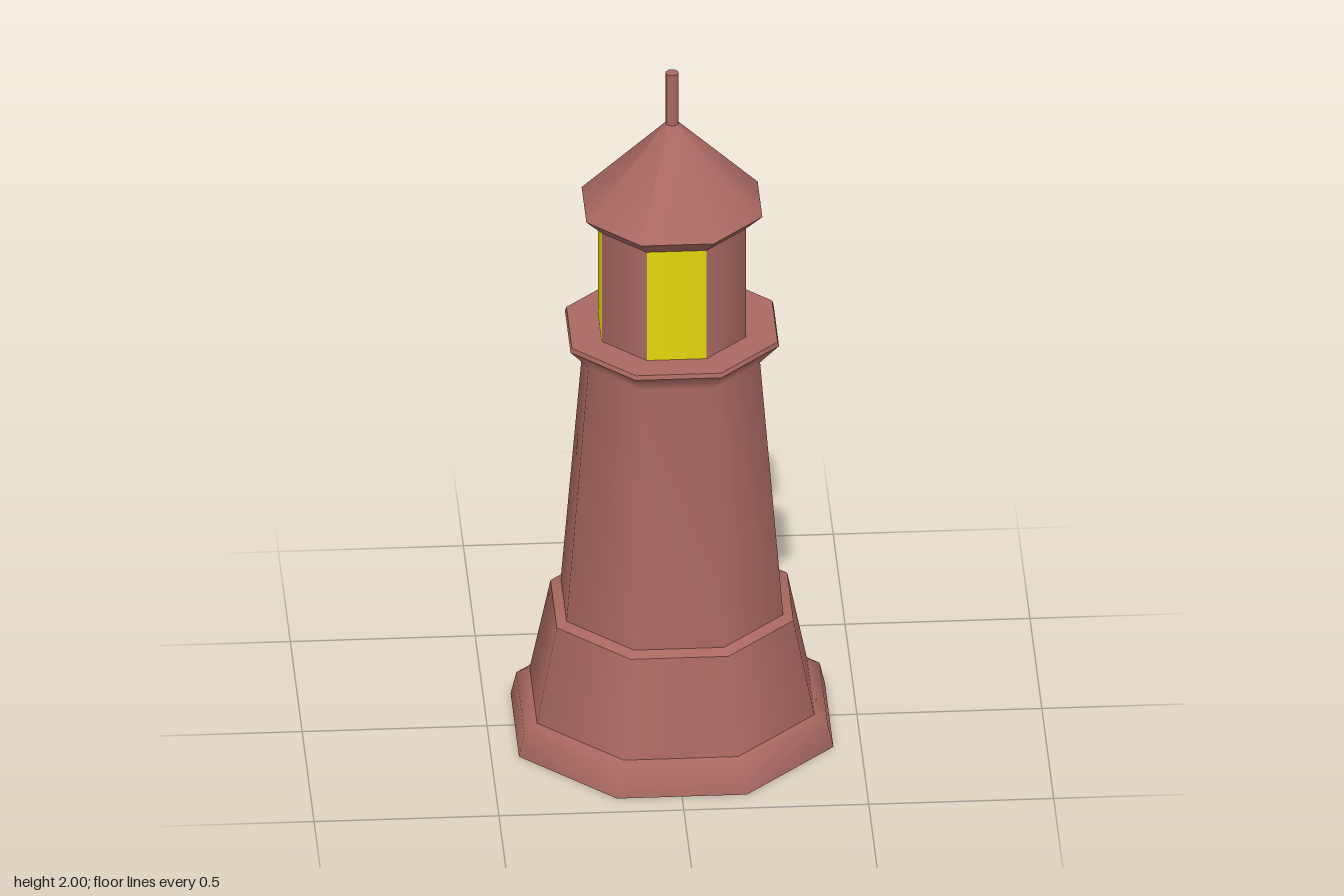
import * as THREE from 'three';

const SIDES = 8;
const STEP = (2 * Math.PI) / SIDES;
const CORNER = 1 / Math.cos(STEP / 2); // flat distance -> corner radius

const brick = new THREE.MeshStandardMaterial({ color: 0xaa6862 });
const glass = new THREE.MeshStandardMaterial({ color: 0xe7d90f });

// Octagonal ring turned from [flat distance, height] points; each call is one smooth run
function ring(name, points) {
  const profile = points.map(([r, y]) => new THREE.Vector2(r * CORNER, y));
  const mesh = new THREE.Mesh(new THREE.LatheGeometry(profile, SIDES, STEP / 2), brick);
  mesh.name = name;
  return mesh;
}

export function createModel() {
  const model = new THREE.Group();
  model.name = 'lighthouse';

  // Foundation, plinth and tapering tower that flares into the gallery
  model.add(
    ring('foundationBottom', [[0, 0], [0.425, 0]]),
    ring('foundation', [[0.425, 0], [0.41, 0.068], [0.375, 0.09]]),
    ring('plinth', [[0.375, 0.09], [0.32, 0.37]]),
    ring('plinthLedge', [[0.32, 0.37], [0.293, 0.383]]),
    ring('tower', [[0.293, 0.383], [0.232, 1.15], [0.282, 1.21]]),
    ring('galleryEdge', [[0.282, 1.21], [0.278, 1.222]]),
    ring('galleryFloor', [[0.278, 1.222], [0.15, 1.222]])
  );

  // Lantern room: windows on the four main sides, walls between them
  const lantern = new THREE.Group();
  lantern.name = 'lanternRoom';
  const bottom = 1.222, top = 1.556, radius = 0.195 * CORNER;
  for (let i = 0; i < SIDES; i++) {
    const panel = new THREE.Mesh(
      new THREE.CylinderGeometry(radius, radius, top - bottom, 1, 1, true, (i - 0.5) * STEP, STEP),
      i % 2 ? brick : glass
    );
    panel.position.y = (bottom + top) / 2;
    panel.name = i % 2 ? 'lanternWall' : 'lanternWindow';
    lantern.add(panel);
  }
  model.add(lantern);

  // Roof and spire
  model.add(
    ring('eaves', [[0.195, 1.556], [0.238, 1.6]]),
    ring('roof', [[0.238, 1.6], [0.017, 1.845]]),
    ring('spire', [[0.017, 1.84], [0.017, 2]]),
    ring('spireTop', [[0.017, 2], [0, 2]])
  );
  return model;
}
